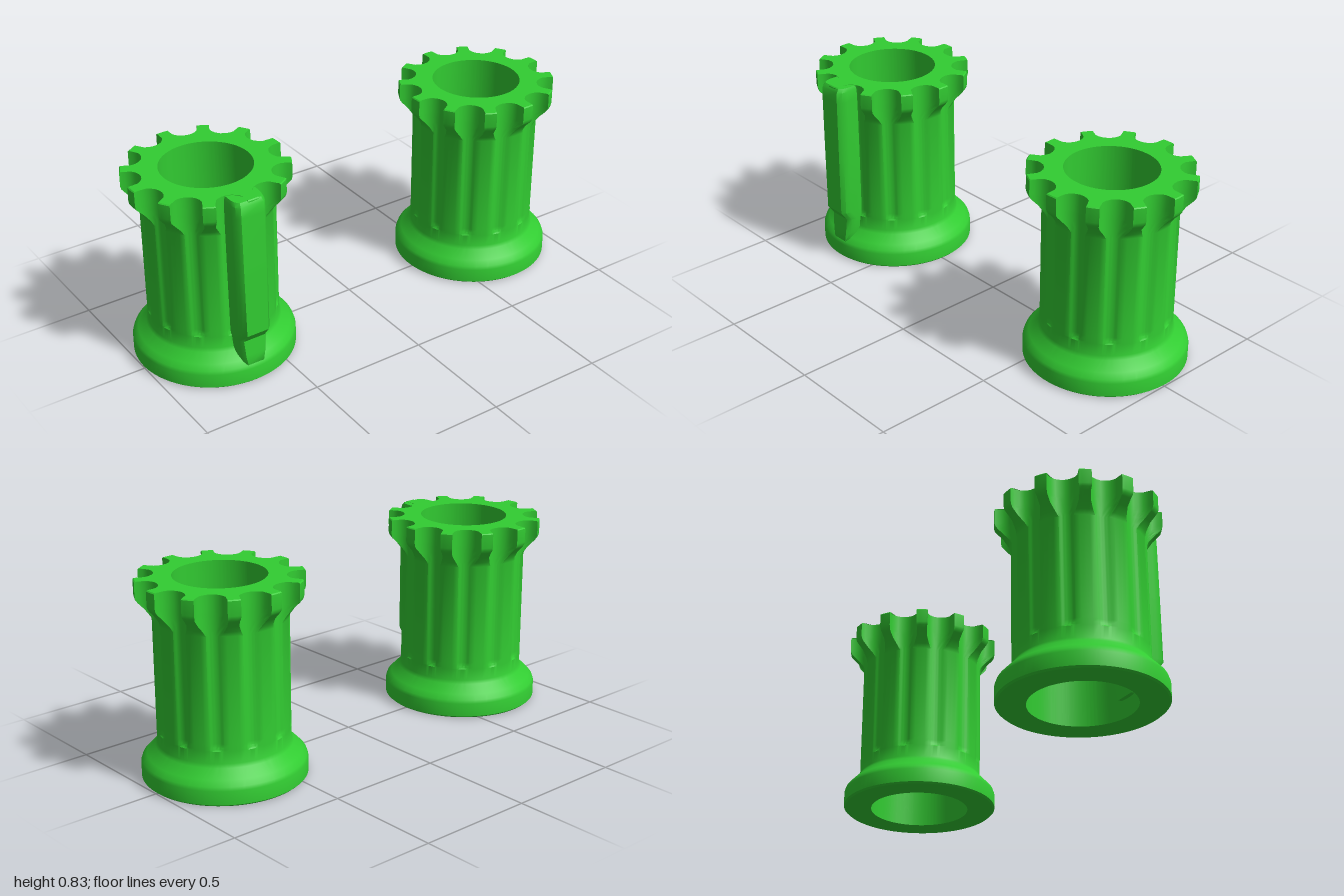
import * as THREE from 'three';
import { toCreasedNormals } from 'three/addons/utils/BufferGeometryUtils.js';

const GROOVES = 12;
const GROOVE_CENTRE = 0.32, GROOVE_RADIUS = 0.062;
const BODY = 0.267, RIM = 0.333;

// Skin a stack of closed loops, each listed anticlockwise seen from above
function loft(rows, creaseDegrees) {
  const n = rows[0].length, index = [];
  for (let i = 0; i < rows.length - 1; i++) {
    for (let j = 0; j < n; j++) {
      const a = i * n + j, b = i * n + (j + 1) % n;
      index.push(a, b, b + n, a, b + n, a + n);
    }
  }
  const geometry = new THREE.BufferGeometry();
  geometry.setAttribute('position', new THREE.Float32BufferAttribute(rows.flat(2), 3));
  geometry.setIndex(index);
  return toCreasedNormals(geometry, THREE.MathUtils.degToRad(creaseDegrees));
}

// One ring of the spool: round where depth is 0, scalloped where depth is 1
function ring(y, radius, depth) {
  const grooveSteps = 10, toothSteps = 4, points = [];
  const pitch = Math.PI * 2 / GROOVES;
  const c = GROOVE_CENTRE, q = GROOVE_RADIUS;
  const reach = Math.max(radius, BODY);
  const limit = Math.acos((c * c + q * q - reach * reach) / (2 * c * q));
  const half = Math.atan2(q * Math.sin(limit), c - q * Math.cos(limit));
  for (let k = 0; k < GROOVES; k++) {
    const middle = (k + 0.5) * pitch + 0.035;
    const add = (angle, r) => points.push(
      [r * Math.sin(middle + angle), y, r * Math.cos(middle + angle)]);
    for (let s = 0; s <= grooveSteps; s++) {
      const phi = limit * (2 * s / grooveSteps - 1);
      const across = q * Math.sin(phi), out = c - q * Math.cos(phi);
      add(Math.atan2(across, out), THREE.MathUtils.lerp(radius, Math.hypot(across, out), depth));
    }
    for (let s = 1; s < toothSteps; s++) {
      add(half + (pitch - 2 * half) * s / toothSteps, radius);
    }
  }
  return points;
}

function spoolGeometry() {
  // height, radius, groove depth: foot, grooved barrel, toothed rim, tapered bore
  const profile = [
    [0.005, 0.213, 0], [0.005, 0.325, 0], [0.012, 0.333, 0], [0.07, 0.333, 0],
    [0.085, 0.328, 0], [0.105, 0.309, 0], [0.14, 0.275, 0], [0.155, BODY, 0],
    [0.205, BODY, 0], [0.211, BODY, 0.6], [0.22, BODY, 0.9], [0.235, BODY, 1],
    [0.67, BODY, 1], [0.69, 0.275, 1], [0.72, 0.297, 1], [0.745, 0.321, 1],
    [0.757, 0.33, 1], [0.77, RIM, 1], [0.829, RIM, 1], [0.833, 0.329, 1],
    [0.833, 0.186, 0], [0.005, 0.213, 0],
  ];
  return loft(profile.map((p) => ring(...p)), 35);
}

function keyGeometry() {
  // height, half width, outer face
  const sections = [
    [0.08, 0.042, 0.322], [0.088, 0.05, 0.327], [0.13, 0.06, 0.325], [0.2, 0.066, 0.319],
    [0.24, 0.067, 0.348], [0.5, 0.069, 0.346], [0.77, 0.07, 0.343],
    [0.815, 0.069, 0.34], [0.831, 0.064, 0.328],
  ];
  const inner = 0.192;
  const rows = sections.map(([y, w, z]) => [
    [-w, y, inner], [-w, y, z - 0.04], [-w * 0.93, y, z - 0.016], [-w * 0.72, y, z],
    [w * 0.72, y, z], [w * 0.93, y, z - 0.016], [w, y, z - 0.04], [w, y, inner],
  ]);
  // Close both ends
  const cap = (y) => Array.from({ length: 8 }, () => [0, y, 0.26]);
  return loft([cap(0.08), ...rows, cap(0.831)], 35);
}

export function createModel() {
  const green = new THREE.MeshStandardMaterial({ color: 0x32cd32 });
  green.name = 'green';
  const model = new THREE.Group();
  model.name = 'spoolPair';
  const body = spoolGeometry();

  for (const [name, x] of [['keyedSpool', -0.667], ['plainSpool', 0.667]]) {
    const spool = new THREE.Group();
    spool.name = name;
    spool.position.set(x, 0, -0.008);
    const barrel = new THREE.Mesh(body, green);
    barrel.name = 'groovedBarrel';
    spool.add(barrel);
    // Raised key along the front of one spool
    if (name === 'keyedSpool') {
      const key = new THREE.Mesh(keyGeometry(), green);
      key.name = 'key';
      spool.add(key);
    }
    model.add(spool);
  }
  return model;
}
